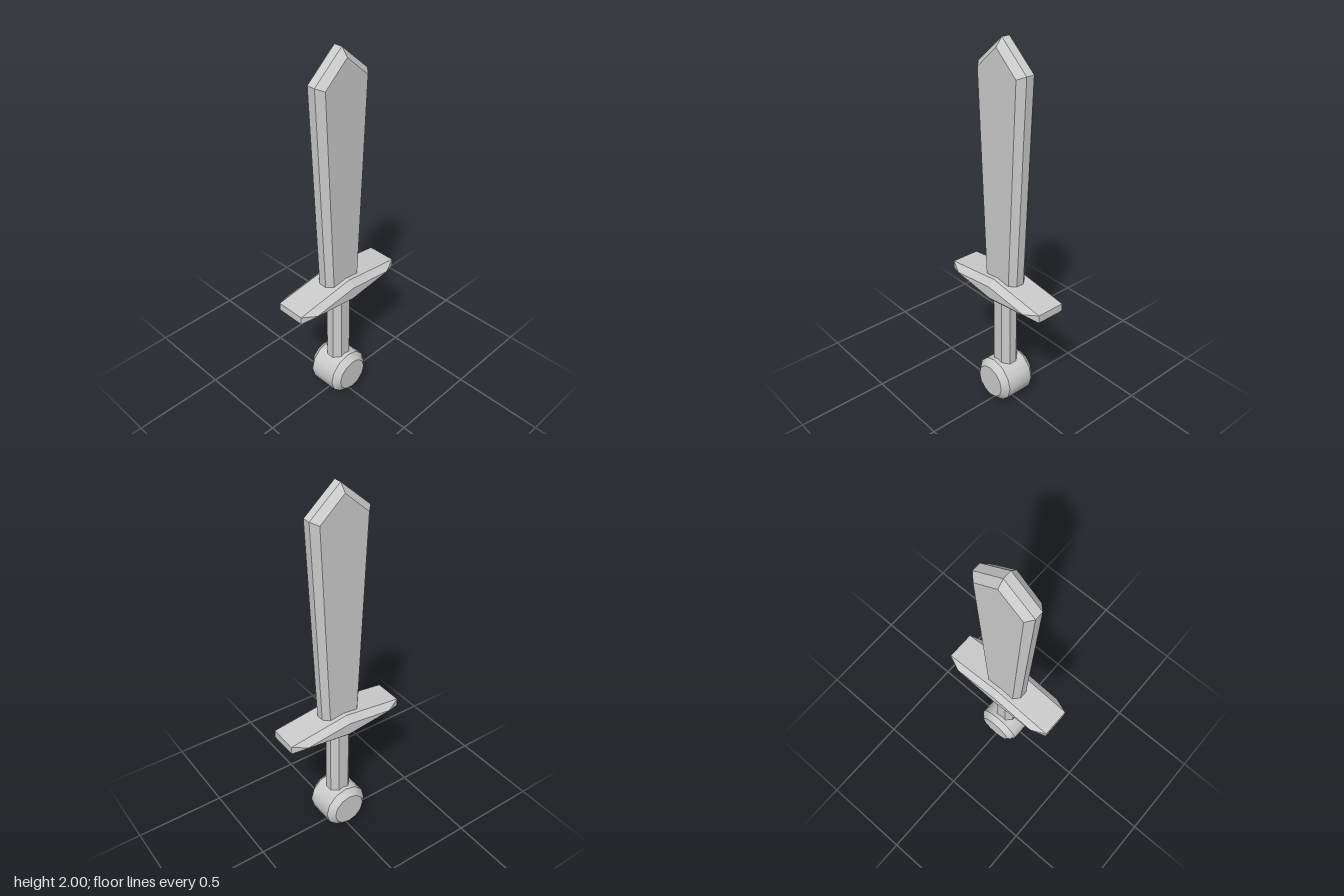
import * as THREE from 'three';
import { toCreasedNormals } from 'three/addons/utils/BufferGeometryUtils.js';

const material = new THREE.MeshStandardMaterial({ color: 0xcccccc });

// Mirror a right-hand outline (listed bottom to top) into a full counter-clockwise loop
function mirrored(right) {
  const left = right.filter(([x]) => x > 0).map(([x, y]) => [-x, y]).reverse();
  return [...right, ...left];
}

// Bevelled plate: wide outline at +-zEdge, smaller face outline at +-zFace
function bevelledPlate(outer, inner, zEdge, zFace) {
  const rings = [[inner, -zFace], [outer, -zEdge], [outer, zEdge], [inner, zFace]]
    .map(([loop, z]) => mirrored(loop).map(([x, y]) => [x, y, z]));
  const n = rings[0].length;
  const positions = [];
  const tri = (a, b, c) => positions.push(...a, ...b, ...c);
  for (let r = 0; r < 3; r++) {
    for (let i = 0; i < n; i++) {
      const j = (i + 1) % n;
      const [a, b, c, d] = [rings[r][i], rings[r][j], rings[r + 1][j], rings[r + 1][i]];
      tri(a, b, c);
      tri(a, c, d);
    }
  }
  // Front and back faces as fans
  for (let i = 1; i < n - 1; i++) {
    tri(rings[3][0], rings[3][i], rings[3][i + 1]);
    tri(rings[0][0], rings[0][i + 1], rings[0][i]);
  }
  const geometry = new THREE.BufferGeometry();
  geometry.setAttribute('position', new THREE.Float32BufferAttribute(positions, 3));
  geometry.computeVertexNormals();
  return geometry;
}

export function createModel() {
  const group = new THREE.Group();
  const add = (name, geometry) => {
    const mesh = new THREE.Mesh(geometry, material);
    mesh.name = name;
    group.add(mesh);
    return mesh;
  };

  // Blade widening towards a pointed tip
  add('blade', bevelledPlate(
    [[0.109, 0.70], [0.163, 1.86], [0, 2]],
    [[0.081, 0.70], [0.131, 1.845], [0, 1.96]],
    0.022, 0.055));

  // Crossguard, thick in the middle and tapering to blunt ends
  add('crossguard', bevelledPlate(
    [[0, 0.643], [0.335, 0.688], [0.335, 0.731], [0, 0.776]],
    [[0, 0.677], [0.255, 0.709], [0.255, 0.711], [0, 0.743]],
    0.078, 0.111));

  // Grip with chamfered corners
  add('grip', bevelledPlate(
    [[0.062, 0.2], [0.062, 0.69]],
    [[0.031, 0.2], [0.031, 0.69]],
    0.022, 0.055));

  // Round pommel: drum with bevelled rims, its axis along z
  const profile = [[0, -0.111], [0.092, -0.111], [0.126, -0.077], [0.126, 0.077], [0.092, 0.111], [0, 0.111]]
    .map(([r, h]) => new THREE.Vector2(r, h));
  const drum = new THREE.LatheGeometry(profile, 12);
  drum.rotateX(Math.PI / 2);
  const pommel = add('pommel', toCreasedNormals(drum, THREE.MathUtils.degToRad(38)));
  pommel.position.y = 0.126;

  return group;
}
